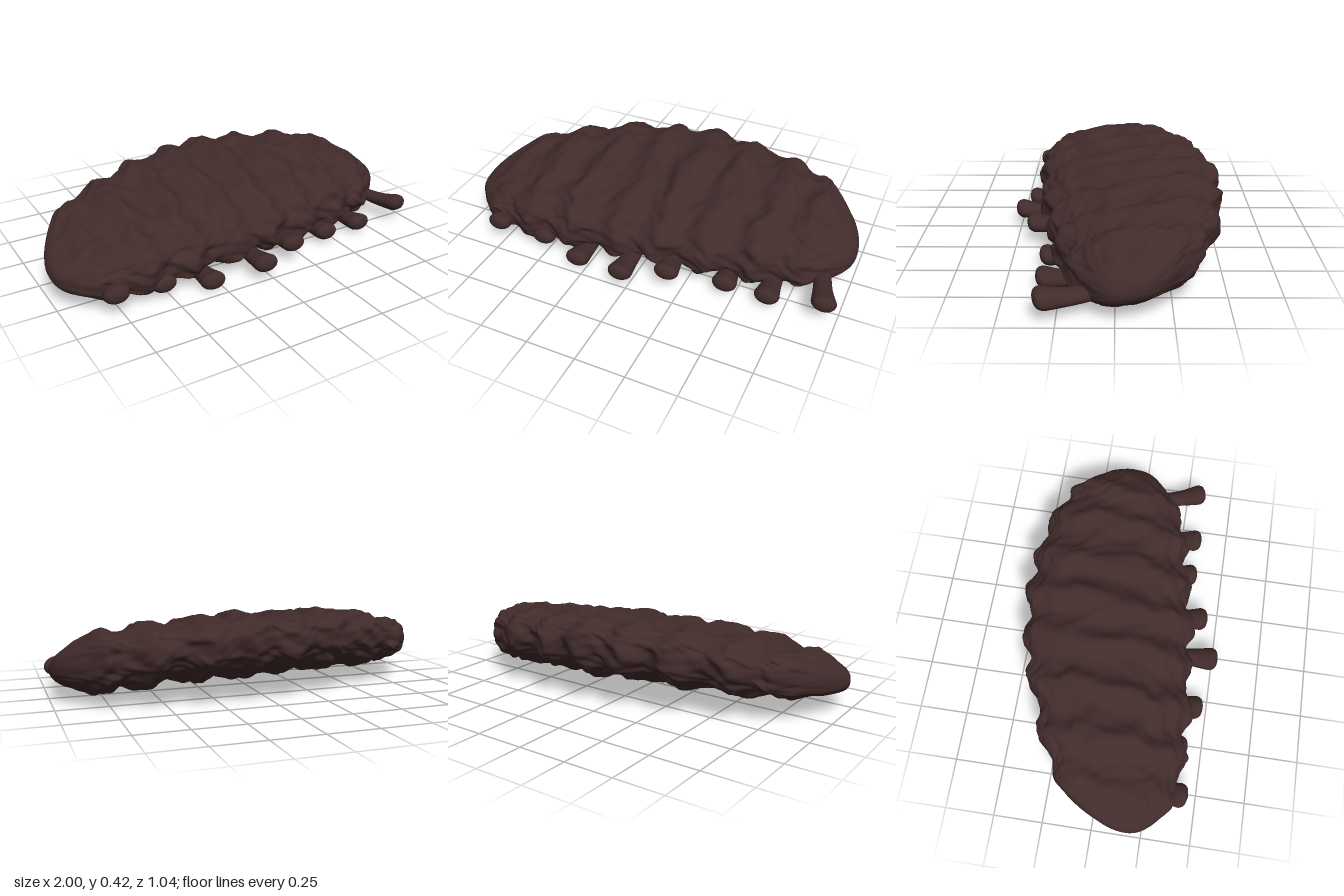
import * as THREE from 'three';

// Body stations, evenly spaced in angle so they bunch up at both tips:
// [back z, front z, centre y, half height]
const STATIONS = [
  [0.17, 0.17, 0.155, 0], [0.03, 0.27, 0.16, 0.065], [-0.14, 0.36, 0.175, 0.107],
  [-0.25, 0.4, 0.188, 0.137], [-0.33, 0.4, 0.207, 0.152], [-0.425, 0.385, 0.22, 0.157],
  [-0.475, 0.355, 0.222, 0.162], [-0.485, 0.32, 0.218, 0.162], [-0.46, 0.28, 0.206, 0.156],
  [-0.4, 0.225, 0.187, 0.155], [-0.29, 0.15, 0.168, 0.132], [-0.165, 0.06, 0.155, 0.07],
  [-0.03, -0.03, 0.15, 0],
];
// Ring crests: [x, height]
const CRESTS = [[-0.82, 0.028], [-0.6, 0.04], [-0.36, 0.046], [-0.12, 0.042],
  [0.1, 0.05], [0.32, 0.042], [0.57, 0.042], [0.78, 0.034]];
// Legs: [tip x, tip y, tip z, base x]
const LEGS = [
  [-0.78, 0.115, 0.455, -0.75], [-0.53, 0.08, 0.425, -0.52], [-0.3, 0.055, 0.48, -0.3],
  [-0.035, 0.095, 0.525, -0.04], [0.18, 0.11, 0.445, 0.16], [0.45, 0.065, 0.36, 0.43],
  [0.665, 0.065, 0.36, 0.65], [0.945, 0.11, 0.345, 0.86],
];

const curve = (pick) => new THREE.CatmullRomCurve3(
  STATIONS.map((s) => new THREE.Vector3(...pick(s))), false, 'catmullrom', 0.5);

// Ring crests and irregular lumps pushed out from the smooth body
function relief(x, a) {
  const wx = x + 0.015 * Math.sin(a * 5 + 4 * Math.sin(x * 4)) + 0.01 * Math.sin(a * 12 + 1);
  let ring = 0;
  for (const [c, height] of CRESTS) {
    ring = Math.max(ring, height * Math.exp(-(((wx - c) / 0.065) ** 2)));
  }
  const lumps = Math.sin(x * 29 + 1.5 * Math.sin(a * 4)) * Math.sin(a * 9 + 2 * Math.sin(x * 11))
    + 0.6 * Math.sin(x * 47 + 2 * Math.sin(a * 7)) * Math.sin(a * 17 + 3 * Math.sin(x * 17));
  return ring - 0.016 + 0.008 * lumps;
}

function bodyGeometry(rows, cols) {
  const span = curve((s) => [s[0], s[1], 0]);
  const rise = curve((s) => [s[2], s[3], 0]);
  const pos = [], index = [];
  for (let i = 0; i <= rows; i++) {
    const t = i / rows, x = -Math.cos(Math.PI * t);
    const { x: back, y: front } = span.getPoint(t);
    const { x: cy, y: tall } = rise.getPoint(t);
    const cz = (back + front) / 2, w = (front - back) / 2;
    // The slab leans: its back edge sits higher than its front edge
    const lean = 0.19 * w, h = Math.sqrt(Math.max(0, tall * tall - lean * lean));
    const fade = Math.min(1, Math.sin(Math.PI * t) * 1.6) ** 2;
    // Sections are boxier toward the -x end
    const power = 0.68 + 0.13 * t;
    for (let j = 0; j < cols; j++) {
      const a = (j / cols) * Math.PI * 2;
      const c = Math.sign(Math.cos(a)) * Math.abs(Math.cos(a)) ** power;
      const s = Math.sign(Math.sin(a)) * Math.abs(Math.sin(a)) ** power;
      const d = relief(x, a) * fade;
      pos.push(x, Math.max(0.005, cy + h * s - lean * c + d * Math.sin(a)),
        cz + w * c + d * Math.cos(a));
      if (i === rows) continue;
      const p = i * cols + j, q = i * cols + ((j + 1) % cols);
      index.push(p, p + cols, q, q, p + cols, q + cols);
    }
  }
  const g = new THREE.BufferGeometry();
  g.setAttribute('position', new THREE.Float32BufferAttribute(pos, 3));
  g.setIndex(index);
  g.computeVertexNormals();
  return g;
}

// Stubby sagging leg, swelling to a round foot; unit length along y
function legGeometry() {
  const profile = [[0, 0], [0.03, 0.03], [0.04, 0.12], [0.044, 0.35], [0.05, 0.6],
    [0.059, 0.8], [0.061, 0.88], [0.05, 0.95], [0.03, 0.985], [0, 1]];
  const pts = new THREE.SplineCurve(profile.map((p) => new THREE.Vector2(...p))).getPoints(36);
  pts.forEach((p) => { p.x = Math.max(0, p.x); });
  const g = new THREE.LatheGeometry(pts, 24);
  const p = g.attributes.position;
  for (let i = 0; i < p.count; i++) {
    p.setZ(i, p.getZ(i) * 0.74 + 0.016 * Math.sin(Math.PI * p.getY(i)));
  }
  g.computeVertexNormals();
  return g;
}

export function createModel() {
  const model = new THREE.Group();
  model.name = 'lumpyGrub';
  const skin = new THREE.MeshStandardMaterial({ color: 0x412b2b });
  skin.name = 'dark brown skin';

  const body = new THREE.Mesh(bodyGeometry(240, 144), skin);
  body.name = 'body';
  model.add(body);

  // One row of legs along the front edge
  const legs = new THREE.Group();
  legs.name = 'legs';
  const shape = legGeometry();
  const up = new THREE.Vector3(0, 1, 0);
  LEGS.forEach(([x, y, z, baseX], i) => {
    const base = new THREE.Vector3(baseX, y - 0.005, z - 0.3);
    const dir = new THREE.Vector3(x, y, z).sub(base);
    const leg = new THREE.Mesh(shape, skin);
    leg.name = `leg${i + 1}`;
    leg.position.copy(base);
    leg.scale.y = dir.length();
    leg.quaternion.setFromUnitVectors(up, dir.normalize());
    legs.add(leg);
  });
  model.add(legs);
  return model;
}
